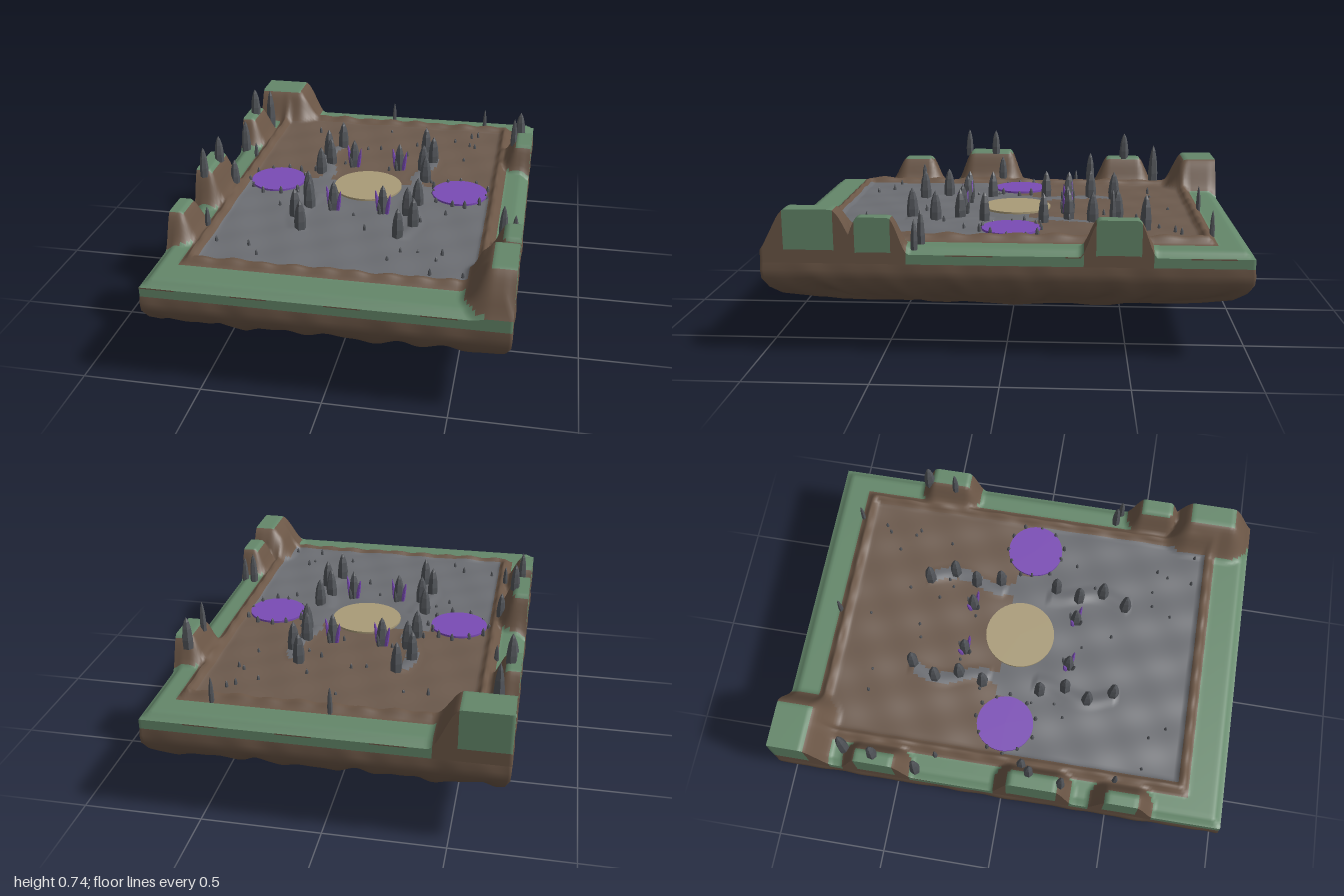
import * as THREE from 'three';

const X = 0.725, Z0 = -0.99, Z1 = 0.98;      // island footprint
const NX = 122, NZ = 164;                    // grid divisions
const BAND = 0.4;                            // bottom of the grass band

const mat = (name, color) => {
  const m = new THREE.MeshStandardMaterial({ color });
  m.name = name;
  return m;
};

// rock outcrops on the border: x0, x1, z0, z1, top, slope width
const OUTCROPS = [
  [-0.8, -0.53, -1.1, -0.85, 0.62, 0.12],
  [-0.8, -0.68, -0.61, -0.46, 0.6, 0.09],
  [-0.8, -0.67, 0.06, 0.25, 0.63, 0.09],
  [-0.8, -0.68, 0.48, 0.6, 0.59, 0.09],
  [0.66, 0.8, -0.53, -0.38, 0.59, 0.08],
  [0.67, 0.8, 0.46, 0.58, 0.59, 0.08],
  [0.64, 0.8, 0.69, 0.87, 0.62, 0.13],
];
const smooth = (t) => THREE.MathUtils.smoothstep(t, 0, 1);

// strength, cap and height of the strongest outcrop at a point
function outcrop(x, z) {
  let best = { w: 0, cap: false, top: 0 };
  for (const [x0, x1, z0, z1, top, fall] of OUTCROPS) {
    const d = Math.hypot(Math.max(x0 - x, x - x1, 0), Math.max(z0 - z, z - z1, 0));
    const w = smooth(1 - d / fall);
    if (w > best.w) best = { w, cap: d < 0.012, top };
  }
  return best;
}

// distance inside the arena edge (negative outside)
const arena = (x, z) => Math.min(0.585 - Math.abs(x), z + 0.825, 0.795 - z);
const track = (z) => 0.235 + 0.025 * Math.cos((Math.abs(z + 0.015) - 0.33) * 16);

function height(x, z) {
  const edge = Math.min(X - Math.abs(x), z - Z0, Z1 - z);
  const a = arena(x, z);
  let y = 0.44 + 0.026 * smooth(edge / 0.04);
  const wob = Math.sin(x * 23 + z * 9) * Math.sin(z * 19 - x * 7);
  if (a > 0) y = 0.472 + 0.004 * wob;
  const ridge = smooth(1 - Math.abs(a) / 0.032);
  y += ridge * (0.026 + 0.004 * Math.sin(x * 50 + z * 43));
  // gentle banks under the standing stones
  const bank = Math.abs(Math.abs(x) - track(z)) / 0.05;
  if (Math.abs(z + 0.015) > 0.1 && Math.abs(z + 0.015) < 0.47) y += 0.008 * smooth(1 - bank);
  const o = outcrop(x, z);
  return Math.max(y, y + (o.top - y) * o.w);
}

// grid surface whose quads are sorted into one group per material
function surface(name, rows, cols, point, pick, materials) {
  const pos = [], lists = materials.map(() => []);
  for (let r = 0; r <= rows; r++) for (let c = 0; c <= cols; c++) pos.push(...point(r, c));
  for (let r = 0; r < rows; r++) for (let c = 0; c < cols; c++) {
    const a = r * (cols + 1) + c, b = a + cols + 1;
    const mid = [0, 1, 2].map((k) => (pos[a * 3 + k] + pos[b * 3 + k] + pos[a * 3 + 3 + k] + pos[b * 3 + 3 + k]) / 4);
    lists[pick(...mid, r)].push(a, b, b + 1, a, b + 1, a + 1);
  }
  const g = new THREE.BufferGeometry();
  g.setAttribute('position', new THREE.Float32BufferAttribute(pos, 3));
  g.setIndex(lists.flat());
  let start = 0;
  lists.forEach((l, i) => { g.addGroup(start, l.length, i); start += l.length; });
  g.computeVertexNormals();
  const m = new THREE.Mesh(g, materials);
  m.name = name;
  return m;
}

// footprint outline, counterclockwise from above
function outline(k) {
  const n = k % (2 * (NX + NZ)), dx = 2 * X / NX, dz = (Z1 - Z0) / NZ;
  if (n < NX) return [-X + n * dx, Z1];
  if (n < NX + NZ) return [X, Z1 - (n - NX) * dz];
  if (n < 2 * NX + NZ) return [X - (n - NX - NZ) * dx, Z0];
  return [-X, Z0 + (n - 2 * NX - NZ) * dz];
}

export function createModel() {
  const root = new THREE.Group();
  const grass = mat('grass', 0x64876a), cliff = mat('cliff rock', 0x6b5646);
  const earth = mat('earth floor', 0x6c5a4d), slate = mat('slate floor', 0x6b6d72);
  const sand = mat('sand', 0xa99b78), violet = mat('violet', 0x7a4bb5);
  const stone = mat('dark stone', 0x53565b);

  // ground, coloured by zone
  const zone = (x, y, z) => {
    const o = outcrop(x, z), a = arena(x, z), ax = Math.abs(x);
    if (o.cap) return 0;
    if (o.w > 0.08) return 1;
    if (a < -0.03) return 0;
    if (a < 0.022) return 1;
    if (z > (ax < 0.3 ? -0.08 : -0.01)) return 3;
    return z > -0.46 && Math.abs(ax - track(z)) < 0.028 ? 3 : 2;
  };
  root.add(surface('ground', NZ, NX, (r, c) => {
    const x = -X + 2 * X * c / NX, z = Z0 + (Z1 - Z0) * r / NZ;
    return [x, height(x, z), z];
  }, zone, [grass, cliff, earth, slate]));

  // vertical border band
  const loop = 2 * (NX + NZ), rows = 8;
  root.add(surface('borderWall', rows, loop, (r, k) => {
    const [x, z] = outline(k);
    return [x, THREE.MathUtils.lerp(height(x, z), BAND, r / rows), z];
  }, (x, y, z, r) => {
    const o = outcrop(x, z);
    if (o.cap) return y > 0.455 ? 0 : 1;
    if (o.w > 0.08) return 1;
    return r === 0 && Math.sin(x * 17 + z * 13) > 0.35 ? 1 : 0;
  }, [grass, cliff]));

  // fluted underside, tapering to a point: scale, height
  const profile = [[1, 0.4], [1.003, 0.37], [1, 0.335], [0.975, 0.295], [0.93, 0.26], [0.8, 0.215],
    [0.65, 0.175], [0.5, 0.143], [0.36, 0.107], [0.22, 0.068], [0.1, 0.032], [0, 0]];
  root.add(surface('underside', profile.length - 1, loop, (r, k) => {
    const [x, z] = outline(k), [s, y] = profile[r], t = k / loop * Math.PI * 2;
    const flute = 0.5 * Math.sin(t * 29 + Math.sin(t * 5)) + 0.3 * Math.sin(t * 47 + 2 * Math.sin(t * 3)) + 0.3 * Math.sin(t * 13);
    const amp = Math.min(1, r / 4) * s;
    const q = s * (1 + 0.012 * flute * amp);
    return [x * q, y + 0.022 * flute * amp * (r < 3 ? 0.5 : 1), z * q];
  }, () => 0, [cliff]));

  // sand circle and violet pools
  const disc = (name, x, z, r, m) => {
    const d = new THREE.Mesh(new THREE.CylinderGeometry(r, r, 0.009, 40), m);
    d.position.set(x, 0.483, z);
    d.name = name;
    root.add(d);
  };
  disc('sandCircle', 0, -0.015, 0.155, sand);
  for (const s of [-1, 1]) disc('pool', s * 0.425, -0.012, 0.125, violet);

  // faceted pointed stone of unit height and radius
  const spike = new THREE.LatheGeometry([[1, 0], [1.05, 0.3], [0.8, 0.65], [0.45, 0.86], [0, 1]]
    .map(([x, y]) => new THREE.Vector2(x, y)), 6).toNonIndexed();
  spike.computeVertexNormals();
  const group = (name) => {
    const g = new THREE.Group();
    g.name = name;
    root.add(g);
    return g;
  };
  const addSpike = (parent, x, z, r, h, m = stone, tilt = 0, turn = x * 40) => {
    const s = new THREE.Mesh(spike, m);
    s.position.set(x, height(x, z) - 0.008, z);
    s.rotation.set(0, turn, tilt);
    s.scale.set(r, h, r);
    s.name = parent.name + 'Spike';
    parent.add(s);
  };

  // mirrored arcs of standing stones
  const stones = group('standingStones');
  const half = [[0.21, -0.47], [0.26, -0.36], [0.225, -0.255], [0.25, -0.145], [0.25, 0.115],
    [0.22, 0.225], [0.26, 0.33], [0.21, 0.44]];
  for (const s of [-1, 1]) for (const [x, z] of half) addSpike(stones, s * x, z, 0.025, 0.136);

  // inner stones with violet shards
  const crystals = group('crystalStones');
  for (const s of [-1, 1]) for (const z of [-0.25, 0.225]) {
    addSpike(crystals, s * 0.11, z, 0.024, 0.14);
    for (let i = 0; i < 4; i++) {
      const a = i * 1.57 + 0.5;
      addSpike(crystals, s * 0.11 + 0.02 * Math.cos(a), z + 0.02 * Math.sin(a), 0.009, i % 2 ? 0.07 : 0.11,
        i % 2 ? stone : violet, -0.2, -a);
    }
  }

  // tall stones on the border: x, z, tip height, radius
  const border = group('borderStones');
  for (const [x, z, tip, r] of [[-0.685, 0.27, 0.74, 0.018], [-0.66, 0.13, 0.74, 0.02], [-0.605, 0.09, 0.61, 0.02],
    [-0.65, -0.69, 0.67, 0.024], [-0.685, -0.54, 0.725, 0.022], [-0.69, -0.365, 0.62, 0.022],
    [0.665, -0.56, 0.685, 0.024], [0.64, -0.43, 0.7, 0.014], [0.645, 0.34, 0.61, 0.018], [0.695, 0.36, 0.58, 0.015],
    [-0.6, 0.5, 0.57, 0.012], [-0.01, -0.85, 0.585, 0.01], [0.47, -0.85, 0.58, 0.01], [-0.615, -0.29, 0.54, 0.01]])
    addSpike(border, x, z, r, tip - height(x, z) + 0.008);

  // small stones around the pools and scattered over the floor
  const pebbles = group('pebbles');
  let seed = 7;
  const rand = () => (seed = (seed * 16807) % 2147483647) / 2147483647;
  for (const s of [-1, 1]) for (let i = 0; i < 11; i++) {
    const a = i * 0.571 + rand() * 0.3, d = 0.118 + rand() * 0.025;
    addSpike(pebbles, s * 0.425 + d * Math.cos(a), -0.012 + d * Math.sin(a), 0.009, 0.028 + rand() * 0.02);
  }
  for (let i = 0; i < 40; i++) {
    const x = (rand() - 0.5) * 1.06, z = -0.76 + rand() * 1.5;
    if (Math.hypot(x, z + 0.015) > 0.18) addSpike(pebbles, x, z, 0.007, 0.02 + rand() * 0.02);
  }
  return root;
}
